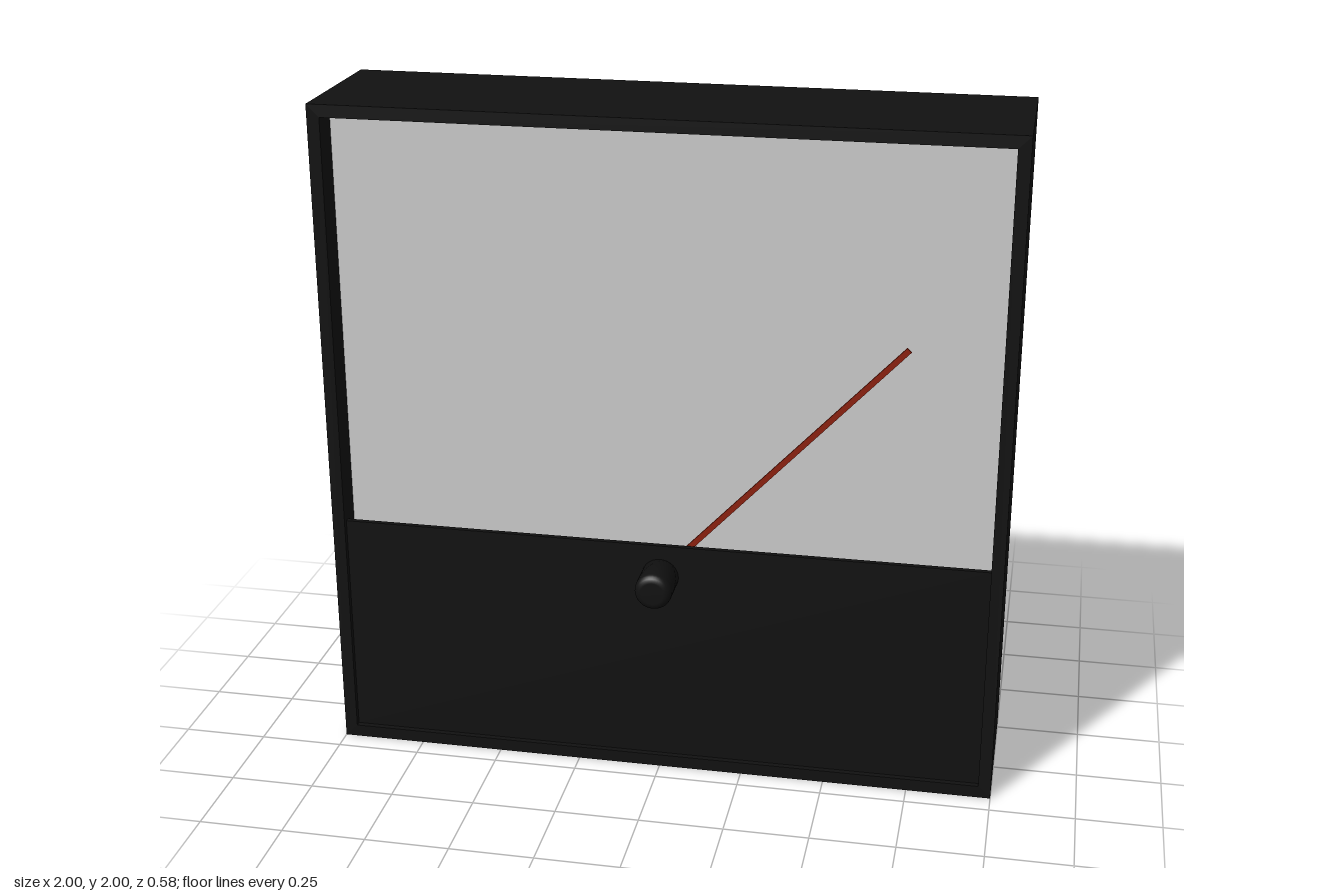
import * as THREE from 'three';

const FRONT = 0.185, BACK = -0.29, WALL = 0.037, DIAL_Z = 0.1;
const PIVOT_Y = 0.63;

export function createModel() {
  const black = new THREE.MeshStandardMaterial({ color: 0x111111 });
  black.name = 'black';
  const lightGrey = new THREE.MeshStandardMaterial({ color: 0xcccccc });
  lightGrey.name = 'lightGrey';
  const red = new THREE.MeshStandardMaterial({ color: 0x8c200d });
  red.name = 'red';

  const model = new THREE.Group();
  model.name = 'panelMeter';
  const add = (name, geometry, material, x = 0, y = 0, z = 0) => {
    const mesh = new THREE.Mesh(geometry, material);
    mesh.name = name;
    mesh.position.set(x, y, z);
    model.add(mesh);
    return mesh;
  };
  // Box given by its width, vertical span and depth span
  const slab = (name, material, width, y0, y1, z0, z1) =>
    add(name, new THREE.BoxGeometry(width, y1 - y0, z1 - z0), material, 0, (y0 + y1) / 2, (z0 + z1) / 2);

  // Solid rear of the case
  const dialBack = DIAL_Z - 0.005;
  slab('caseBody', black, 2, 0, 2, BACK, dialBack);

  // Thin raised rim around the recessed face
  const outline = new THREE.Shape([[-1, 0], [1, 0], [1, 2], [-1, 2]].map(p => new THREE.Vector2(...p)));
  const inner = 1 - WALL;
  outline.holes.push(new THREE.Path(
    [[-inner, WALL], [-inner, 2 - WALL], [inner, 2 - WALL], [inner, WALL]].map(p => new THREE.Vector2(...p))));
  add('rim', new THREE.ExtrudeGeometry(outline, { depth: FRONT - dialBack, bevelEnabled: false }),
    black, 0, 0, dialBack);

  // Dial plate, running down behind the lower cover
  slab('dialPlate', lightGrey, 2 * inner, WALL, 2 - WALL, dialBack, DIAL_Z);
  slab('lowerCover', black, 2 * inner, WALL, 0.728, 0.152, 0.168);

  // Needle, swinging from the pivot between dial and cover
  const tip = new THREE.Vector2(0.7, 1.37 - PIVOT_Y);
  const needle = add('needle', new THREE.BoxGeometry(tip.length(), 0.017, 0.008), red,
    tip.x / 2, PIVOT_Y + tip.y / 2, 0.134);
  needle.rotation.z = tip.angle();

  // Adjusting knob with a rounded front edge
  const r = 0.055, round = 0.022, length = 0.29 - 0.16;
  const profile = [new THREE.Vector2(0, 0), new THREE.Vector2(r, 0)];
  for (let i = 0; i <= 5; i++) {
    const a = (i / 5) * Math.PI / 2;
    profile.push(new THREE.Vector2(r - round + round * Math.cos(a), length - round + round * Math.sin(a)));
  }
  profile.push(new THREE.Vector2(0, length));
  const knob = add('adjustingKnob', new THREE.LatheGeometry(profile, 32), black, 0, PIVOT_Y, 0.16);
  knob.rotation.x = Math.PI / 2;

  return model;
}
